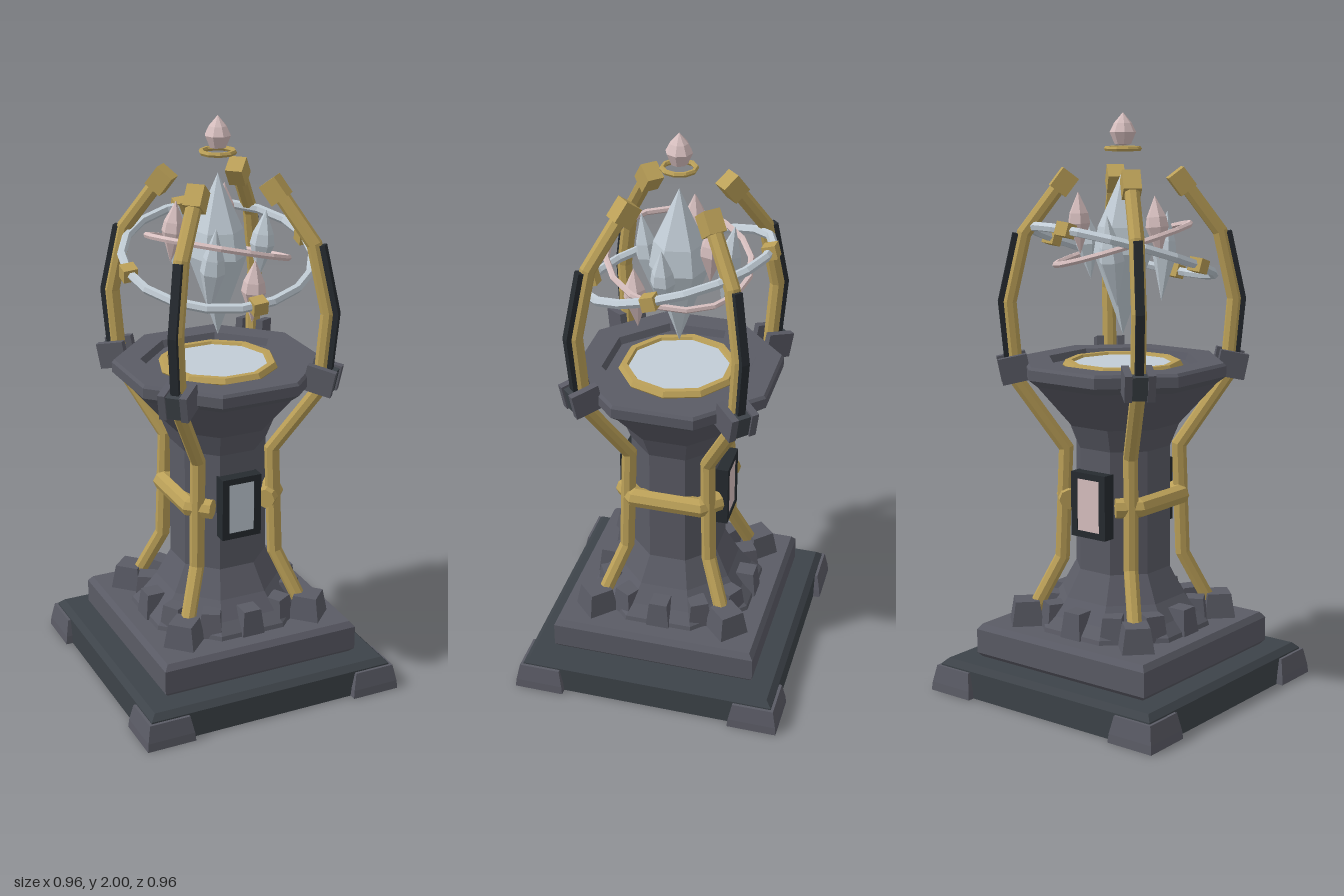
import * as THREE from 'three';

const material = (name, color) => {
  const m = new THREE.MeshStandardMaterial({ color });
  m.name = name;
  return m;
};

export function createModel() {
  const model = new THREE.Group();
  model.name = 'crystalPedestal';
  const stone = material('stone grey', 0x5a5b65);
  const slate = material('dark slate', 0x3d4349);
  const iron = material('black iron', 0x262b30);
  const gold = material('brass', 0xbba058);
  const pale = material('pale crystal', 0xc2cdd6);
  const pink = material('rose crystal', 0xd8c0c0);

  // Adds a faceted mesh
  const add = (name, geometry, mat, parent = model) => {
    const g = geometry.index ? geometry.toNonIndexed() : geometry;
    g.computeVertexNormals();
    const mesh = new THREE.Mesh(g, mat);
    mesh.name = name;
    parent.add(mesh);
    return mesh;
  };

  // Turned shape with flat sides facing the axes; profile gives [half width, y] upwards
  const prism = (profile, sides) => {
    const k = 1 / Math.cos(Math.PI / sides);
    return new THREE.LatheGeometry(profile.map(([r, y]) => new THREE.Vector2(r * k, y)), sides).rotateY(Math.PI / sides);
  };

  // Mitred bar along a polyline in the xy plane
  const sweep = (path, radius, sides, phase = 0) => {
    const pts = path.map(([x, y]) => new THREE.Vector2(x, y));
    const pos = [], idx = [], n = pts.length;
    pts.forEach((p, i) => {
      const a = pts[Math.min(i + 1, n - 1)].clone().sub(pts[Math.min(i, n - 2)]).normalize();
      const b = pts[Math.max(i, 1)].clone().sub(pts[Math.max(i - 1, 0)]).normalize();
      const t = a.clone().add(b).normalize();
      const mitre = radius / t.dot(a);
      for (let k = 0; k < sides; k++) {
        const ang = phase + (k / sides) * Math.PI * 2;
        const c = Math.cos(ang) * mitre;
        pos.push(p.x - t.y * c, p.y + t.x * c, Math.sin(ang) * radius);
      }
    });
    for (let i = 0; i < n - 1; i++) {
      for (let k = 0; k < sides; k++) {
        const a = i * sides + k, b = i * sides + (k + 1) % sides;
        idx.push(a, b, a + sides, b, b + sides, a + sides);
      }
    }
    const last = (n - 1) * sides;
    for (let k = 1; k < sides - 1; k++) idx.push(0, k + 1, k, last, last + k, last + k + 1);
    const g = new THREE.BufferGeometry();
    g.setAttribute('position', new THREE.Float32BufferAttribute(pos, 3));
    g.setIndex(idx);
    return g;
  };

  const ring = (r, tube, sides, segments) => new THREE.TorusGeometry(r, tube, sides, segments).rotateX(Math.PI / 2);

  // Stepped square base with corner pads
  add('plinth', prism([[0, 0], [0.455, 0], [0.455, 0.095], [0.435, 0.115], [0, 0.115]], 4), slate);
  add('upperStep', prism([[0, 0.113], [0.35, 0.113], [0.365, 0.13], [0.365, 0.215], [0.35, 0.235], [0, 0.235]], 4), stone);
  for (const x of [-1, 1]) for (const z of [-1, 1]) {
    const pad = add('cornerPad', prism([[0, 0], [0.088, 0], [0.085, 0.03], [0.073, 0.09], [0, 0.09]], 4), stone);
    pad.position.set(x * 0.392, 0, z * 0.392);
  }

  // Octagonal tower: skirt, shaft, flared bowl with a recessed top
  add('tower', prism([
    [0, 0.23], [0.29, 0.23], [0.285, 0.25], [0.25, 0.285], [0.205, 0.345], [0.157, 0.44], [0.155, 0.87],
    [0.185, 0.95], [0.305, 1.095], [0.335, 1.12], [0.335, 1.155], [0.327, 1.165],
    [0.245, 1.165], [0.235, 1.14], [0, 1.14],
  ], 8), stone);
  for (let i = 0; i < 12; i++) {
    const block = add('skirtBlock', prism([[0, 0.235], [0.042, 0.235], [0.032, 0.325], [0, 0.325]], 4), stone);
    const a = (i * Math.PI) / 6;
    block.position.set(Math.sin(a) * 0.255, 0, Math.cos(a) * 0.255);
    block.rotation.y = a;
  }
  add('poolRim', ring(0.188, 0.02, 6, 10), gold).position.y = 1.145;
  add('pool', new THREE.CylinderGeometry(0.185, 0.185, 0.01, 20), pale).position.y = 1.148;

  // Framed panels, front and back
  [[1, pale], [-1, pink]].forEach(([s, mat]) => {
    const panel = new THREE.Group();
    panel.name = s > 0 ? 'frontPanel' : 'backPanel';
    panel.position.y = 0.682;
    panel.rotation.y = s > 0 ? 0 : Math.PI;
    model.add(panel);
    add('panelBacking', new THREE.BoxGeometry(0.13, 0.21, 0.045), iron, panel).position.z = 0.165;
    for (const e of [-1, 1]) {
      add('frameSide', new THREE.BoxGeometry(0.026, 0.226, 0.05), iron, panel).position.set(e * 0.06, 0, 0.171);
      add('frameEnd', new THREE.BoxGeometry(0.1, 0.022, 0.05), iron, panel).position.set(0, e * 0.102, 0.171);
    }
    add('panelGlass', new THREE.BoxGeometry(0.094, 0.182, 0.006), pale === mat ? pale : pink, panel).position.z = 0.19;
  });

  // Brass bands around the sides of the shaft
  for (const s of [-1, 1]) {
    const band = add('sideBand', sweep([[0.1, -0.172], [0.158, -0.115], [0.158, 0.115], [0.1, 0.172]], 0.035, 8).rotateX(Math.PI / 2), gold);
    band.position.y = 0.685;
    band.rotation.y = s > 0 ? 0 : Math.PI;
  }

  // Four curved ribs on the diagonals, with feet, rim brackets, strips and end blocks
  const ribPath = [[0.33, 0.25], [0.213, 0.47], [0.198, 0.86], [0.365, 1.1], [0.388, 1.37], [0.335, 1.6], [0.21, 1.765]];
  for (let i = 0; i < 4; i++) {
    const rib = new THREE.Group();
    rib.name = 'rib';
    rib.rotation.y = Math.PI / 4 + (i * Math.PI) / 2;
    model.add(rib);
    add('ribBar', sweep(ribPath, 0.026, 8, Math.PI / 8), gold, rib);
    add('ribStrip', sweep([[0.388, 1.12], [0.412, 1.37], [0.36, 1.6]], 0.02, 4, Math.PI / 4), iron, rib);
    const block = add('ribEnd', new THREE.BoxGeometry(0.065, 0.075, 0.06), gold, rib);
    block.position.set(0.2, 1.77, 0);
    block.rotation.z = 0.65;
    const foot = add('ribFoot', prism([[0, 0.235], [0.055, 0.235], [0.042, 0.32], [0, 0.32]], 4), stone, rib);
    foot.position.x = 0.34;
    for (const z of [-1, 1]) {
      const cheek = add('rimBracket', new THREE.BoxGeometry(0.1, 0.09, 0.025), stone, rib);
      cheek.position.set(0.375, 1.143, z * 0.038);
      cheek.rotation.z = -0.2;
    }
    const back = add('bracketBack', new THREE.BoxGeometry(0.035, 0.08, 0.09), slate, rib);
    back.position.set(0.4, 1.135, 0);
    back.rotation.z = -0.2;
  }

  // Tilted floating rings
  const outer = new THREE.Group();
  outer.name = 'outerRing';
  outer.position.y = 1.535;
  outer.rotation.set(0.29, 0, 0.09);
  model.add(outer);
  add('outerHoop', ring(0.32, 0.016, 6, 18), pale, outer);
  for (let i = 0; i < 4; i++) {
    const a = (i * Math.PI) / 2;
    const clasp = add('ringClasp', new THREE.BoxGeometry(0.05, 0.046, 0.046), gold, outer);
    clasp.position.set(Math.cos(a) * 0.32, 0, Math.sin(a) * 0.32);
  }
  const inner = add('innerRing', ring(0.24, 0.011, 6, 16), pink);
  inner.position.y = 1.56;
  inner.rotation.set(-0.16, 0, -0.25);

  // Large central crystal and six smaller ones: [x, z, low, high, radius, material]
  const crystal = (low, high, r) => new THREE.LatheGeometry([
    [0, low], [r, low + (high - low) * 0.5], [r * 0.85, low + (high - low) * 0.66], [0, high],
  ].map(([x, y]) => new THREE.Vector2(x, y)), 6);
  add('centralCrystal', crystal(1.25, 1.81, 0.1), pale).rotation.y = 0.2;
  [
    [0.16, 0.01, 1.43, 1.67, 0.042, pale], [0.07, 0.13, 1.32, 1.54, 0.042, pink],
    [-0.08, 0.13, 1.36, 1.67, 0.042, pale], [-0.155, -0.015, 1.52, 1.73, 0.04, pink],
    [-0.07, -0.15, 1.36, 1.67, 0.044, pale], [0.085, -0.13, 1.53, 1.74, 0.04, pink],
  ].forEach(([x, z, low, high, r, mat], i) => {
    const h = (high - low) / 2;
    const shard = add('smallCrystal', crystal(-h, h, r), mat);
    shard.position.set(x, (low + high) / 2, z);
    shard.rotation.set(z * 0.7, i, -x * 0.7);
  });

  // Floating finial
  add('finialRing', ring(0.055, 0.009, 6, 10), gold).position.y = 1.88;
  add('finialCrystal', new THREE.LatheGeometry(
    [[0, 1.89], [0.028, 1.895], [0.045, 1.935], [0.03, 1.965], [0, 2]].map(([x, y]) => new THREE.Vector2(x, y)), 8), pink);

  return model;
}
